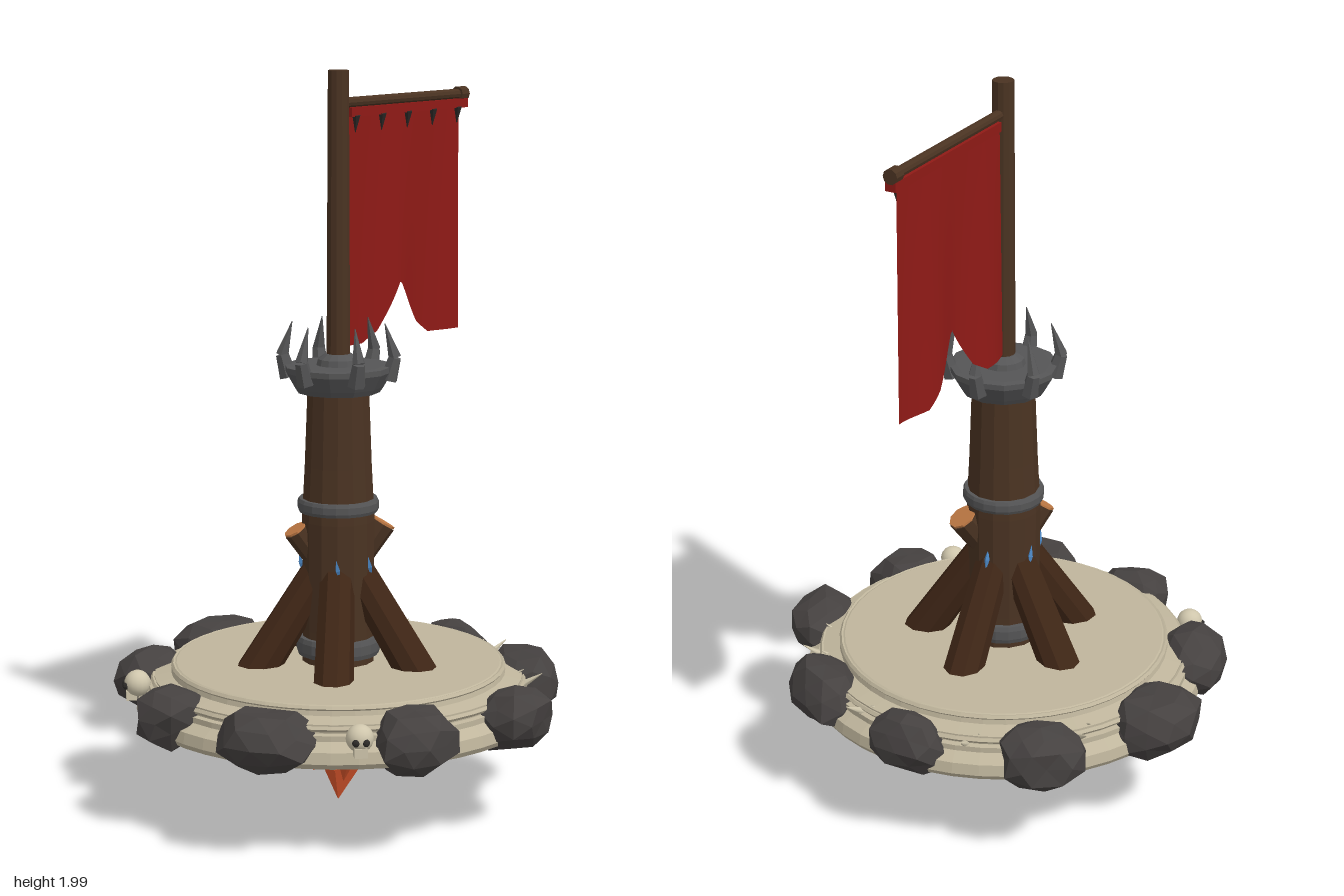
import * as THREE from 'three';

const mat = (color, flat = true, side = THREE.FrontSide) =>
  new THREE.MeshStandardMaterial({ color, flatShading: flat, side });
const M = {
  stone: mat(0xbfb59c), rock: mat(0x454140), bark: mat(0x4a3322), root: mat(0x3f2616),
  cut: mat(0xc07a45), metal: mat(0x555556), flag: mat(0x8f1a16, false, THREE.DoubleSide),
  ember: mat(0xdc572c), blue: mat(0x4a84c0), bone: mat(0xcfc6ac, false), dark: mat(0x2c2a28),
};
const V = (x, y, z) => new THREE.Vector3(x, y, z);
const polar = (r, a, y) => V(r * Math.cos(a), y, r * Math.sin(a));

// Seeded random numbers
let seed = 7;
const rand = () => (seed = (seed * 16807) % 2147483647) / 2147483647;

export function createModel() {
  const model = new THREE.Group();
  const add = (name, geo, material, pos = V(0, 0, 0), parent = model) => {
    const mesh = new THREE.Mesh(geo, material);
    mesh.name = name;
    mesh.position.copy(pos);
    parent.add(mesh);
    return mesh;
  };
  // Tapered cylinder between two points
  const rod = (name, a, b, ra, rb, sides, material, parent = model) => {
    const d = b.clone().sub(a);
    const mesh = add(name, new THREE.CylinderGeometry(rb, ra, d.length(), sides), material,
      a.clone().add(b).multiplyScalar(0.5), parent);
    mesh.quaternion.setFromUnitVectors(V(0, 1, 0), d.normalize());
    return mesh;
  };
  const lathe = (name, pts, sides, material) =>
    add(name, new THREE.LatheGeometry(pts.map(p => new THREE.Vector2(...p)), sides), material);

  // Stepped stone disc with a hollow underneath
  lathe('baseDisc', [[0.25, 0.35], [0.25, 0.27], [0.54, 0.27], [0.55, 0.285], [0.545, 0.315], [0.515, 0.335],
    [0.515, 0.35], [0.5, 0.352], [0.5, 0.375], [0.455, 0.385], [0.45, 0.405], [0.44, 0.41], [0, 0.41]], 48, M.stone);
  lathe('hollowCeiling', [[0, 0.34], [0.255, 0.34]], 24, mat(0x2c2a28, true, THREE.DoubleSide));
  for (const [r, y] of [[0.447, 0.402], [0.503, 0.365]]) {
    const rim = add('discRim', new THREE.TorusGeometry(r, 0.008, 5, 48), M.stone, V(0, y, 0));
    rim.rotation.x = Math.PI / 2;
  }

  // Boulders around the rim: x, z, tangential and radial half sizes
  const boulders = [[0.1, -0.515, 0.14, 0.12], [-0.24, -0.465, 0.135, 0.1], [-0.485, -0.17, 0.11, 0.095],
    [-0.49, 0.165, 0.135, 0.105], [-0.25, 0.46, 0.12, 0.095], [0.085, 0.53, 0.135, 0.105],
    [0.395, 0.33, 0.135, 0.1], [0.515, 0, 0.115, 0.07], [0.4, -0.335, 0.12, 0.095]];
  for (const [x, z, t, r] of boulders) {
    const geo = new THREE.IcosahedronGeometry(1, 1), p = geo.attributes.position, moved = new Map();
    for (let i = 0; i < p.count; i++) {
      const v = V(p.getX(i), p.getY(i), p.getZ(i));
      const key = v.toArray().map(n => Math.round(n * 100)).join();
      if (!moved.has(key)) {
        const m = Math.max(Math.abs(v.x), Math.abs(v.y), Math.abs(v.z));
        moved.set(key, v.multiplyScalar((0.84 + 0.24 * rand()) / Math.pow(m, 0.45)));
      }
      p.setXYZ(i, ...moved.get(key).toArray());
    }
    geo.scale(r * 0.95, 0.083, t * 0.95);
    geo.computeVertexNormals();
    add('boulder', geo, M.rock, V(x, 0.33, z)).rotation.y = -Math.atan2(z, x);
  }

  // Two skulls on the rim, facing outward
  for (const s of [-1, 1]) {
    const skull = new THREE.Group();
    skull.name = 'skull';
    skull.position.set(-0.385, 0.355, s * 0.388);
    skull.rotation.y = Math.atan2(-1, s);
    model.add(skull);
    add('cranium', new THREE.SphereGeometry(0.036, 16, 12), M.bone, V(0, 0, 0), skull);
    add('jaw', new THREE.BoxGeometry(0.034, 0.025, 0.03), M.bone, V(0, -0.032, 0.016), skull);
    for (const e of [-1, 1])
      add('eyeSocket', new THREE.SphereGeometry(0.01, 8, 6), M.dark, V(e * 0.013, -0.004, 0.031), skull);
  }

  // Small bone spikes in pairs between boulders
  for (const a of [-0.95, -0.35, 0.3, 0.95, 1.25, 2.75, 4.15])
    for (const [da, r] of [[-0.03, 0.46], [0.04, 0.51]])
      rod('boneSpike', polar(r - 0.02, a + da, 0.345), polar(r + 0.045, a + da, 0.385), 0.013, 0.001, 6, M.bone);

  // Trunk with metal bands
  lathe('trunk', [[0, 0.3], [0.1, 0.3], [0.098, 0.5], [0.1, 0.8], [0.092, 0.95], [0.084, 1.16], [0, 1.16]], 14, M.bark);
  const band = (y, r, h) => lathe('metalBand', [[r - 0.02, y - h], [r - 0.004, y - h], [r, y - h * 0.5],
    [r, y + h * 0.5], [r - 0.004, y + h], [r - 0.02, y + h]], 20, M.metal);
  band(0.842, 0.11, 0.018);
  band(0.455, 0.114, 0.025);

  // Five splayed roots with cut lower ends, and glowing slivers above them
  for (let i = 0; i < 5; i++) {
    const a = i * Math.PI * 2 / 5;
    const top = polar(0.05, a, 0.665), end = polar(0.305, a, 0.272);
    rod('root', end, top, 0.058, 0.048, 9, M.root);
    const out = end.clone().sub(top).normalize();
    rod('rootCut', end, end.clone().addScaledVector(out, 0.004), 0.048, 0.045, 9, M.cut);
    add('rootShoulder', new THREE.IcosahedronGeometry(0.05, 1), M.root, top);
    const sliver = add('glowSliver', new THREE.OctahedronGeometry(1), M.blue, polar(0.101, a + (i % 2 ? 0.2 : -0.05), 0.68));
    sliver.scale.set(0.008, 0.032, 0.008);
    sliver.rotation.z = 0.25;
  }

  // Cut branch stubs
  for (const [a, y, r] of [[0.66, 0.77, 0.042], [3.75, 0.76, 0.034]]) {
    const start = polar(0.06, a, y - 0.07), tip = polar(0.118, a, y + 0.015);
    rod('branchStub', start, tip, r * 0.9, r, 9, M.bark);
    rod('branchCut', tip, tip.clone().add(polar(0.003, a, 0.005)), r * 0.95, r * 0.95, 9, M.cut);
  }

  // Crown with six inward-leaning horns
  lathe('crown', [[0.08, 1.15], [0.112, 1.15], [0.122, 1.165], [0.145, 1.205], [0.145, 1.22], [0.125, 1.222], [0, 1.222]], 12, M.metal);
  for (let i = 0; i < 6; i++) {
    const a = i * Math.PI / 3;
    const mid = polar(0.152, a, 1.245);
    rod('hornBase', polar(0.135, a, 1.185), mid, 0.025, 0.018, 6, M.metal);
    rod('hornTip', mid, polar(0.125, a, 1.335), 0.018, 0.001, 6, M.metal);
  }
  lathe('poleSocket', [[0.06, 1.22], [0.055, 1.238], [0.035, 1.252], [0, 1.252]], 14, M.metal);

  // Pole and crossbar
  rod('pole', V(0, 1.2, 0), V(0, 2, 0), 0.032, 0.028, 12, M.bark);
  rod('crossbar', V(0, 1.914, 0), V(0.54, 1.914, 0), 0.014, 0.014, 10, M.bark);
  rod('crossbarKnob', V(0.515, 1.914, 0), V(0.548, 1.914, 0), 0.02, 0.02, 10, M.bark);

  // Swallow-tailed banner with soft folds
  const edge = [[0, 1.26], [0.1, 1.26], [0.15, 1.29], [0.243, 1.42], [0.34, 1.295], [0.39, 1.26], [0.5, 1.26]];
  const lower = x => {
    const k = Math.max(1, edge.findIndex(e => e[0] >= x - 1e-6));
    const [x0, y0] = edge[k - 1], [x1, y1] = edge[k];
    return y0 + (y1 - y0) * (x - x0) / (x1 - x0);
  };
  const cloth = new THREE.PlaneGeometry(1, 1, 50, 12), cp = cloth.attributes.position;
  for (let i = 0; i < cp.count; i++) {
    const x = (cp.getX(i) + 0.5) * 0.5, t = 0.5 - cp.getY(i);
    const y = 1.895 + (lower(x) - 1.895) * t;
    cp.setXYZ(i, 0.03 + x, y, -0.006 - t * (0.008 + 0.013 * Math.sin(x * 22)));
  }
  cloth.computeVertexNormals();
  add('banner', cloth, M.flag);
  add('bannerHem', new THREE.BoxGeometry(0.51, 0.025, 0.03), M.flag, V(0.292, 1.889, 0));
  for (let i = 0; i < 5; i++)
    rod('bannerClaw', V(0.06 + i * 0.111, 1.88, 0.012), V(0.063 + i * 0.111, 1.835, 0.006), 0.012, 0.001, 6, M.dark);

  // Broken dark rubble ring beneath the disc
  for (let i = 0; i < 9; i++) {
    const a = i * Math.PI * 2 / 9 + 0.2;
    const slab = add('rubble', new THREE.BoxGeometry(0.07 + 0.04 * rand(), 0.07, 0.11 + 0.04 * rand()), M.dark,
      polar(0.165, a, 0.275));
    slab.rotation.set(0.2 * (rand() - 0.5), -a, 0.2 * (rand() - 0.5));
  }

  // Blue core wrapped by ember shards
  add('crystalCore', new THREE.IcosahedronGeometry(0.12, 0), M.blue, V(0, 0.235, 0)).rotation.y = 0.4;
  const shard = (a, rTop, yTop, rTip, yTip, w) => {
    const top = polar(rTop, a, yTop), tip = polar(rTip, a, yTip), mid = top.clone().lerp(tip, 0.45);
    mid.add(polar(0.02, a, 0));
    rod('emberShard', mid, top, w, w * 0.2, 5, M.ember);
    rod('emberShard', mid, tip, w, 0.001, 5, M.ember);
  };
  shard(0, 0, 0.21, 0, 0.01, 0.068);
  for (let i = 0; i < 6; i++)
    shard(i * Math.PI / 3 + 0.15, 0.125, 0.275, 0.07 + 0.02 * (i % 2), i % 2 ? 0.13 : 0.085, 0.036);
  return model;
}
